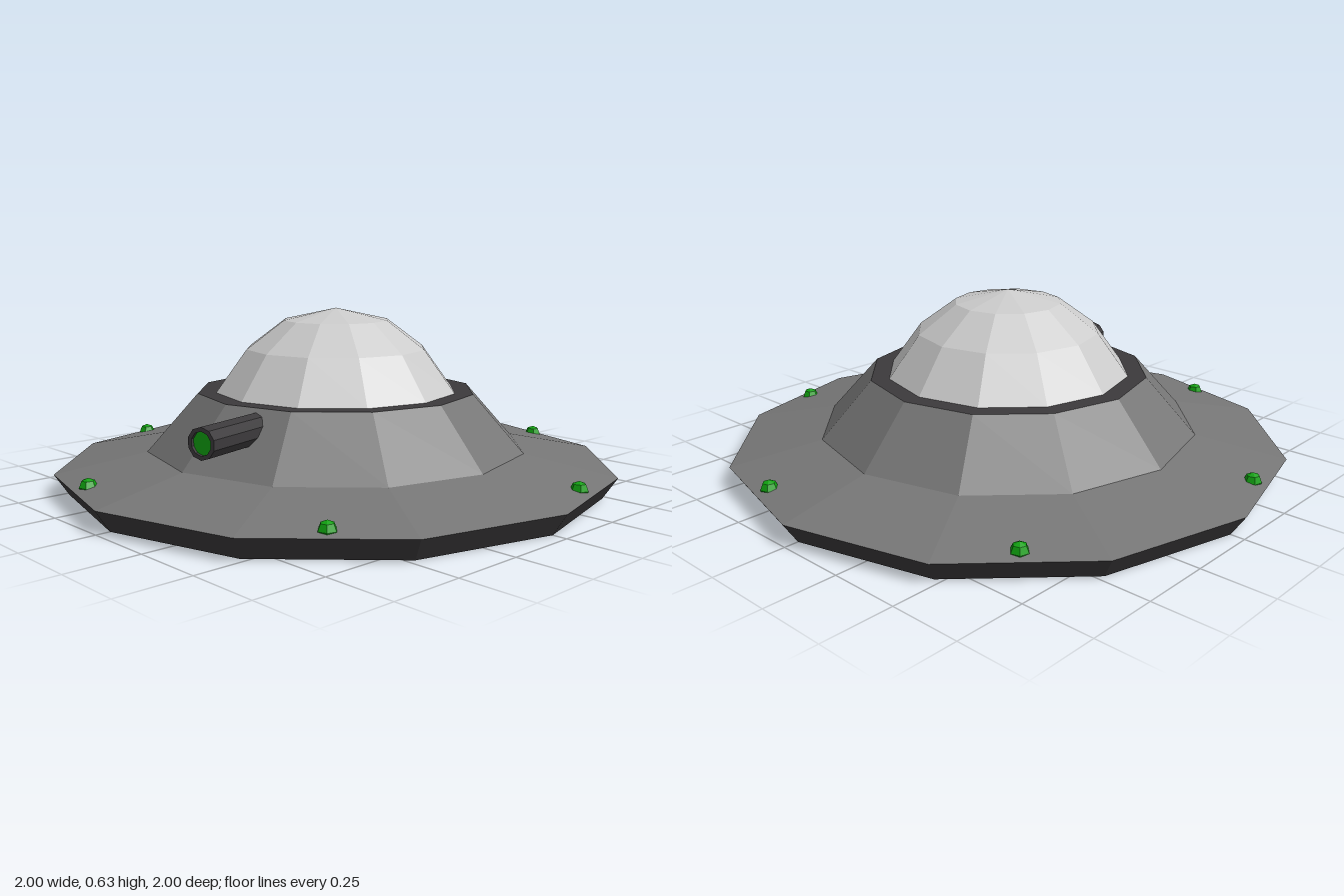
import * as THREE from 'three';

const SIDES = 12;

function material(color) {
  return new THREE.MeshStandardMaterial({ color, flatShading: true });
}

// Faceted solid of revolution from [radius, height] pairs, listed bottom to top
function lathe(name, profile, mat, sides = SIDES) {
  const points = profile.map(([r, y]) => new THREE.Vector2(r, y));
  const mesh = new THREE.Mesh(new THREE.LatheGeometry(points, sides), mat);
  mesh.name = name;
  return mesh;
}

export function createModel() {
  const model = new THREE.Group();
  model.name = 'saucer';

  const hullGrey = material(0x777777);
  const darkGrey = material(0x3c3a3c);
  const domeGrey = material(0xcccccc);
  const green = material(0x0fa00f);

  // Saucer body
  model.add(
    lathe('baseRim', [[0, 0], [0.95, 0], [1, 0.075]], darkGrey),
    lathe('hull', [[1, 0.075], [0.68, 0.14], [0.5, 0.34]], hullGrey),
    lathe('domeCollar', [[0.5, 0.34], [0.435, 0.34]], darkGrey),
    lathe('dome', [[0.435, 0.34], [0.325, 0.49], [0.19, 0.59], [0, 0.632]], domeGrey)
  );

  // Cannon, pointing outward 15 degrees to the left of straight ahead
  const cannon = new THREE.Group();
  cannon.name = 'cannon';
  const barrel = lathe('barrel',
    [[0, 0.44], [0.052, 0.44], [0.052, 0.775], [0.038, 0.775], [0.038, 0.765]], darkGrey, 10);
  const muzzle = lathe('muzzleGlow', [[0.038, 0.765], [0, 0.765]], green, 10);
  cannon.add(barrel, muzzle);
  cannon.rotation.set(Math.PI / 2, 0, -Math.PI / 12, 'YXZ');
  cannon.rotation.set(Math.PI / 2, Math.PI / 12, 0, 'YXZ');
  cannon.position.y = 0.275;
  model.add(cannon);

  // Six small lamps around the brim
  const lampGeometry = new THREE.SphereGeometry(0.031, 6, 4);
  for (let i = 0; i < 6; i++) {
    const angle = -Math.PI / 12 + (i * Math.PI) / 3;
    const lamp = new THREE.Mesh(lampGeometry, green);
    lamp.name = 'rimLamp' + (i + 1);
    lamp.position.set(0.915 * Math.cos(angle), 0.084, 0.915 * Math.sin(angle));
    lamp.rotation.y = -angle;
    model.add(lamp);
  }

  return model;
}
